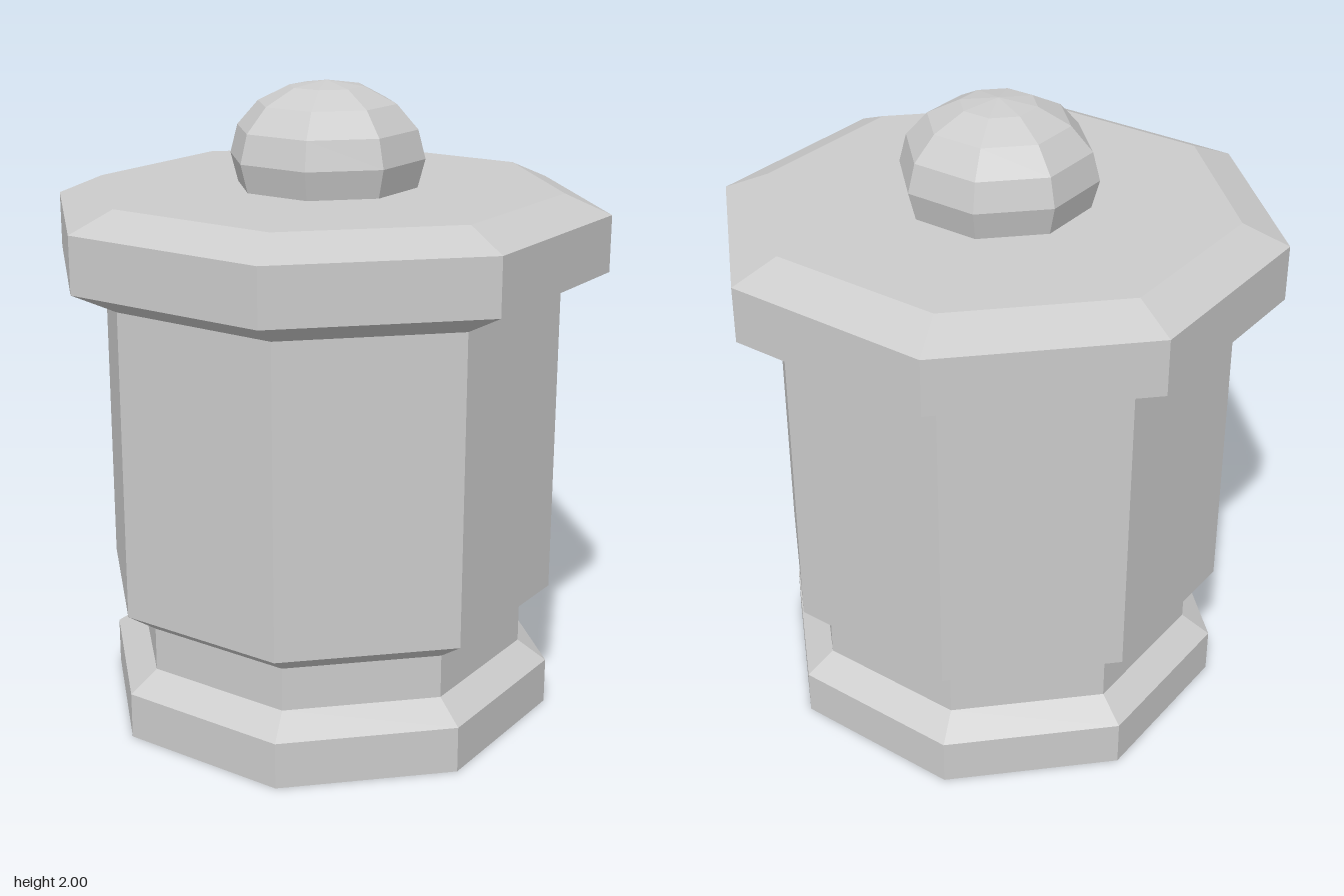
import * as THREE from 'three';

const SIDES = 8;
const material = new THREE.MeshStandardMaterial({ color: 0xcccccc, flatShading: true });

// Octagonal turned part from a bottom-to-top [radius, height] profile
function turned(name, profile) {
  const points = profile.map(([r, y]) => new THREE.Vector2(r, y));
  const mesh = new THREE.Mesh(new THREE.LatheGeometry(points, SIDES), material);
  mesh.name = name;
  return mesh;
}

export function createModel() {
  const group = new THREE.Group();
  group.name = 'liddedJar';

  // Foot with a bevelled top and a narrow waist; the parts join edge to edge
  group.add(turned('foot', [[0, 0], [0.727, 0], [0.727, 0.147], [0.635, 0.21]]));
  group.add(turned('waist', [[0.635, 0.21], [0.635, 0.348]]));

  // Body, flaring out from the waist
  group.add(turned('body', [[0.635, 0.348], [0.727, 0.41], [0.727, 1.378]]));

  // Overhanging lid, bevelled above and below
  group.add(turned('lid', [[0.727, 1.378], [0.87, 1.448], [0.87, 1.622], [0.727, 1.682], [0, 1.682]]));

  // Squashed ball knob, cut off where it meets the lid
  const knob = new THREE.Mesh(
    new THREE.SphereGeometry(0.305, SIDES, 5, 0, Math.PI * 2, 0, Math.PI * 5 / 8),
    material
  );
  knob.name = 'knob';
  knob.scale.y = 0.23 / 0.305;
  knob.position.y = 1.77;
  group.add(knob);

  return group;
}
